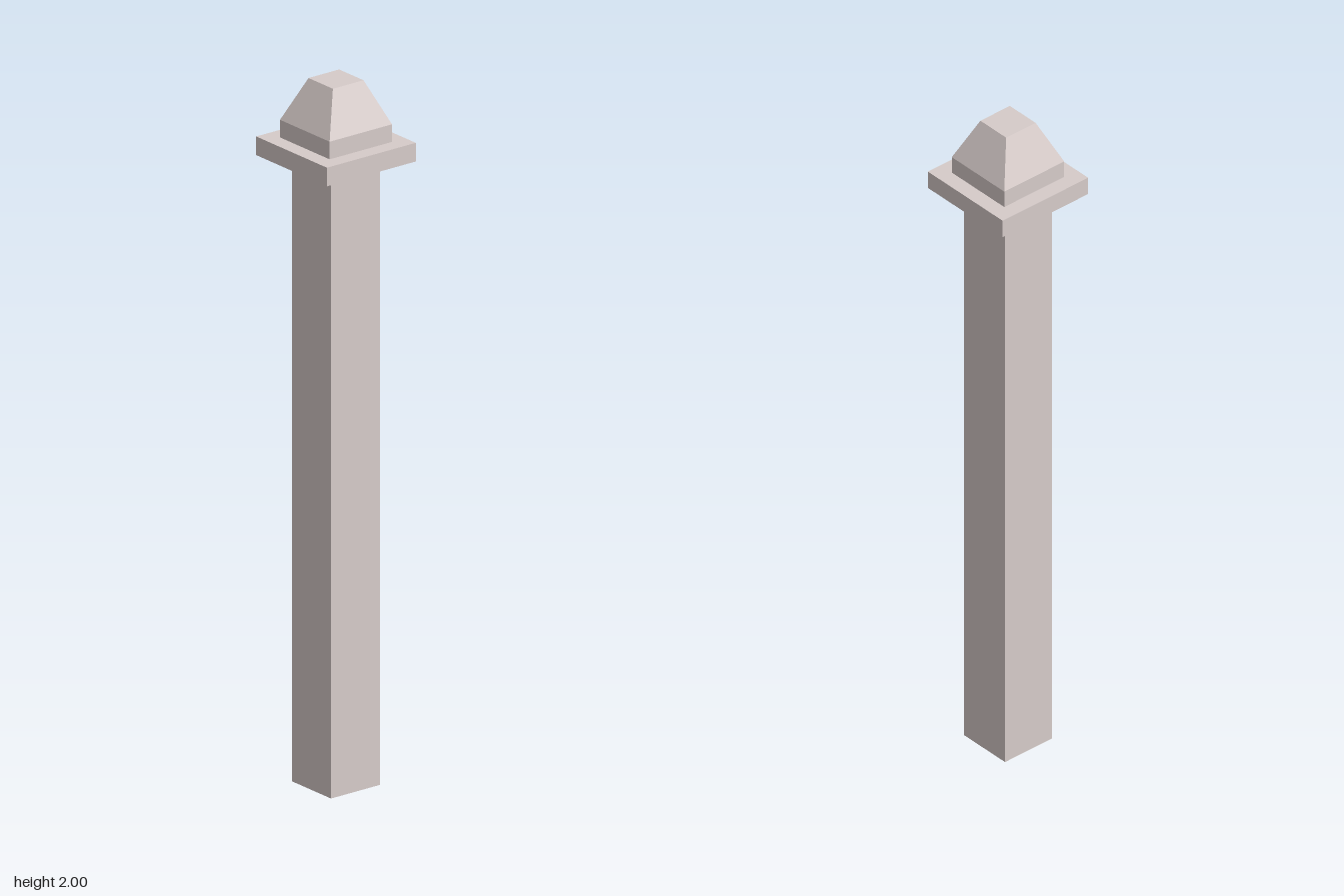
import * as THREE from 'three';

// Square section between two heights, with its own half-width at each end
function squareSection(name, material, y0, y1, half0, half1 = half0, open = false) {
  const h = y1 - y0;
  const geo = new THREE.CylinderGeometry(half1 * Math.SQRT2, half0 * Math.SQRT2, h, 4, 1, open, Math.PI / 4);
  const mesh = new THREE.Mesh(geo, material);
  mesh.name = name;
  mesh.position.y = y0 + h / 2;
  return mesh;
}

export function createModel() {
  const stone = new THREE.MeshStandardMaterial({ color: 0xd6cbc9 });
  stone.name = 'pale stone';
  stone.flatShading = true;
  stone.side = THREE.DoubleSide; // the hollow shaft shows its inner walls

  const post = new THREE.Group();
  post.name = 'post';
  post.add(
    squareSection('shaft', stone, 0, 1.775, 0.083, 0.083, true), // open underneath
    squareSection('collarPlate', stone, 1.775, 1.828, 0.151),
    squareSection('capBase', stone, 1.828, 1.878, 0.106, 0.106, true),
    squareSection('capTaper', stone, 1.878, 2, 0.106, 0.052),
  );
  return post;
}
